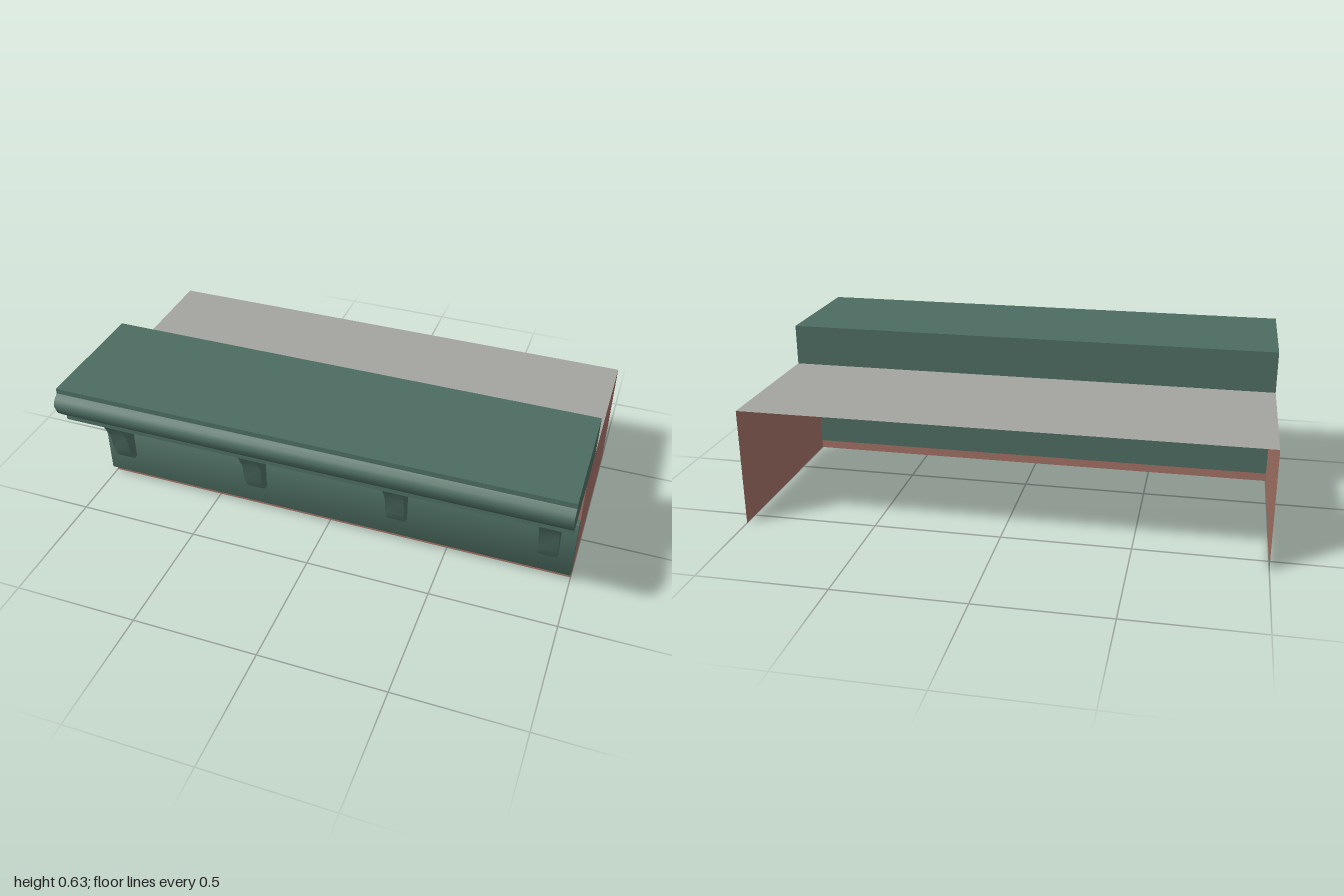
import * as THREE from 'three';
import { toCreasedNormals } from 'three/addons/utils/BufferGeometryUtils.js';
import { RoundedBoxGeometry } from 'three/addons/geometries/RoundedBoxGeometry.js';

const brick = new THREE.MeshStandardMaterial({ color: 0xa07064, side: THREE.DoubleSide });
brick.name = 'brick';
const paint = new THREE.MeshStandardMaterial({ color: 0x4c6c60 });
paint.name = 'green paint';
const roofing = new THREE.MeshStandardMaterial({ color: 0xa4a49f, side: THREE.DoubleSide });
roofing.name = 'grey roofing';

const WALL_Z = 0.23, BACK_Z = -0.573, WALL_H = 0.468;
const TRIM_Z = WALL_Z - 0.002; // trim reaches just through the wall

// Extrude a [z, y] profile along x, centred on x = 0
function extrudeAlongX(points, width) {
  const shape = new THREE.Shape(points.map(([z, y]) => new THREE.Vector2(z, y)));
  const geo = new THREE.ExtrudeGeometry(shape, { depth: width, bevelEnabled: false });
  geo.translate(0, 0, -width / 2);
  geo.rotateY(-Math.PI / 2);
  return toCreasedNormals(geo, THREE.MathUtils.degToRad(50));
}

export function createModel() {
  const model = new THREE.Group();
  model.name = 'storefrontCornice';

  function add(name, geo, mat, x = 0, y = 0, z = 0) {
    const mesh = new THREE.Mesh(geo, mat);
    mesh.name = name;
    mesh.position.set(x, y, z);
    model.add(mesh);
    return mesh;
  }

  // Open brick shell: front and two sides
  const depth = WALL_Z - BACK_Z, midZ = (WALL_Z + BACK_Z) / 2;
  add('frontWall', new THREE.PlaneGeometry(2, WALL_H), brick, 0, WALL_H / 2, WALL_Z);
  for (const side of [-1, 1]) {
    const wall = new THREE.PlaneGeometry(depth, WALL_H).rotateY(side * Math.PI / 2);
    add(side > 0 ? 'leftWall' : 'rightWall', wall, brick, side, WALL_H / 2, midZ);
  }

  // Flat roof up to the back of the cornice
  const roofDepth = 0.03 - BACK_Z;
  add('roof', new THREE.PlaneGeometry(2, roofDepth).rotateX(-Math.PI / 2), roofing,
    0, WALL_H, BACK_Z + roofDepth / 2);

  // Moulded cornice
  add('cornice', extrudeAlongX([
    [0.03, 0.468], [0.507, 0.468], [0.507, 0.494], [0.53, 0.506], [0.558, 0.534],
    [0.573, 0.574], [0.561, 0.599], [0.54, 0.613], [0.54, 0.634], [0.03, 0.634],
  ], 2), paint);

  // Sign board with slightly eased front edges
  add('signBoard', extrudeAlongX([
    [TRIM_Z, 0.035], [0.257, 0.035], [0.261, 0.04], [0.261, 0.296], [0.257, 0.301], [TRIM_Z, 0.301],
  ], 2), paint);

  // Curved brackets under the cornice
  const bracketGeo = extrudeAlongX([
    [TRIM_Z, 0.135], [0.282, 0.135], [0.306, 0.183], [0.32, 0.267],
    [0.372, 0.366], [0.45, 0.437], [0.502, 0.468], [TRIM_Z, 0.468],
  ], 0.077);
  for (let i = 0; i < 4; i++) add('bracket', bracketGeo, paint, -0.909 + i * 0.604);

  // Row of dentils
  const dentilGeo = new RoundedBoxGeometry(0.044, 0.068, 0.302 - TRIM_Z, 1, 0.004);
  for (let i = -10; i <= 10; i++) {
    add('dentil', dentilGeo, paint, 0.003 + i * 0.0934, 0.335, (0.302 + TRIM_Z) / 2);
  }

  return model;
}
